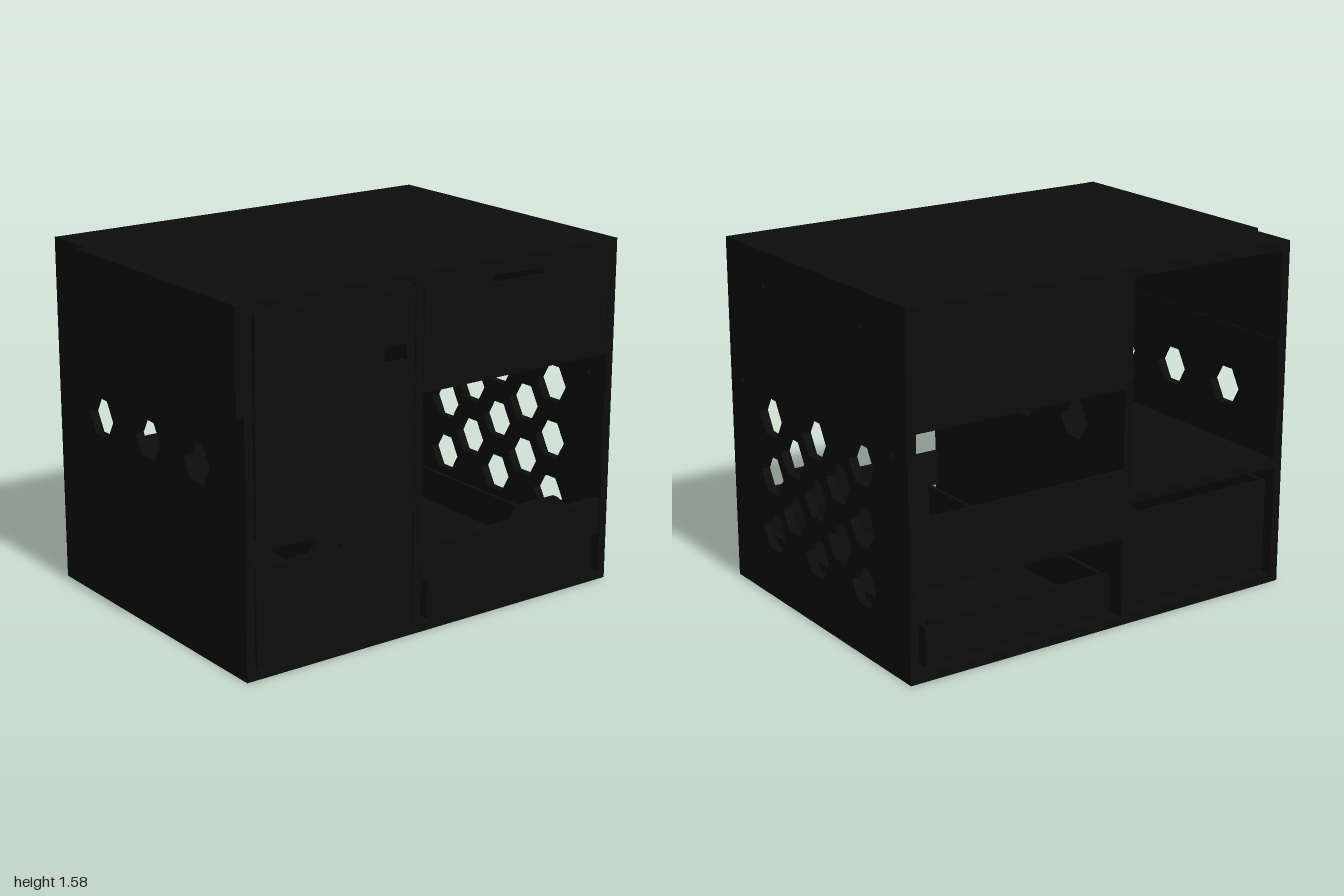
import * as THREE from 'three';

export function createModel() {
  const model = new THREE.Group();
  model.name = 'storageCabinet';
  const black = new THREE.MeshStandardMaterial({ color: 0x0d0d0d });
  black.name = 'matteBlack';

  const add = (name, geometry, parent = model) => {
    const mesh = new THREE.Mesh(geometry, black);
    mesh.name = name;
    parent.add(mesh);
    return mesh;
  };
  // Box given by its limits on each axis
  const box = (name, x0, x1, y0, y1, z0, z1, parent) =>
    add(name, new THREE.BoxGeometry(x1 - x0, y1 - y0, z1 - z0)
      .translate((x0 + x1) / 2, (y0 + y1) / 2, (z0 + z1) / 2), parent);

  const poly = (points) => new THREE.Shape(points.map(([x, y]) => new THREE.Vector2(x, y)));
  const rect = (a0, a1, b0, b1) => poly([[a0, b0], [a1, b0], [a1, b1], [a0, b1]]);
  const ring = (cx, cy, r, sides) => poly(Array.from({ length: sides }, (_, i) => {
    const a = (i / sides) * Math.PI * 2;
    return [cx + r * Math.cos(a), cy + r * Math.sin(a)];
  }));
  const hex = (x, y) => ring(x, y, 0.098, 6);
  const extrude = (shape, holes, depth) => {
    shape.holes.push(...holes);
    return new THREE.ExtrudeGeometry(shape, { depth, bevelEnabled: false, curveSegments: 10 });
  };
  // Upright panel across x, from z0 to z0 + depth
  const crossPanel = (name, shape, holes, z0, depth, parent) =>
    add(name, extrude(shape, holes, depth).translate(0, 0, z0), parent);
  // Upright panel across z (shape uses z, y), outer face at x1
  const sidePanel = (name, shape, holes, x1, depth, parent) =>
    add(name, extrude(shape, holes, depth).rotateY(-Math.PI / 2).translate(x1, 0, 0), parent);

  const L = -0.735, R = 0.725;

  // Case
  box('bottomPanel', L, R, 0, 0.04, -1, 0.96);
  box('topPanel', L, R, 1.54, 1.58, -1, 0.96);

  const viewRow = [-0.38, 0, 0.375].map((x) => [x, 0.847]);
  const wall = () => rect(L, R, 0.04, 1.54);
  const hexes = (list) => list.map(([x, y]) => hex(x, y));
  crossPanel('frontPanel', wall(), hexes(viewRow), 0.92, 0.04);
  crossPanel('middlePartition', wall(), hexes(viewRow), 0.07, 0.04);

  // Back panel with staggered vents and screw holes
  const vents = [...viewRow];
  for (const x of [-0.38, 0, 0.375]) vents.push([x, 0.58], [x, 0.315]);
  for (const x of [-0.19, 0.19]) vents.push([x, 0.712], [x, 0.447]);
  const screws = [[0.4, 1.43], [-0.39, 1.43], [0.62, 0.957], [-0.62, 0.957]];
  crossPanel('backPanel', wall(),
    [...hexes(vents), ...screws.map(([x, y]) => ring(x, y, 0.012, 10))], -1, 0.04);

  // Raised plate on the upper front
  box('frontPlate', -0.48, 0.73, 1.13, 1.58, 0.96, 1);

  // Fixed shelves and guide rails
  box('frontShelf', L, R, 0.55, 0.59, 0.11, 0.92);
  box('backShelf', L, R, 1.065, 1.1, -0.96, 0.07);
  for (const z of [0.11, 0.91]) box('guideRail', L, R, 1.1, 1.14, z, z + 0.01);

  // Fixed panels on the model's right side
  box('upperSidePanel', L, L + 0.02, 1.1, 1.54, -0.96, 0.07);
  box('middleSidePanel', L, L + 0.02, 0.4, 0.705, -0.96, 0.07);

  // Tall door with a finger hole
  sidePanel('tallDoor', rect(0.118, 0.912, 0.598, 1.533),
    [rect(0.16, 0.275, 1.225, 1.295)], 0.73, 0.03);

  // Open-topped container behind a drawer front
  const tub = (name, x0, x1, y0, y1, z0, z1, backHeight = y1) => {
    const t = 0.02, g = new THREE.Group();
    g.name = name;
    model.add(g);
    box('tubFloor', x0, x1, y0, y0 + t, z0, z1, g);
    box('tubWall', x0, x1, y0, y1, z0, z0 + t, g);
    box('tubWall', x0, x1, y0, y1, z1 - t, z1, g);
    box('tubBack', x0, x0 + t, y0, backHeight, z0 + t, z1 - t, g);
    return g;
  };

  // Upper back drawer with a slotted grip
  const upper = tub('upperDrawer', -0.69, 0.7, 1.105, 1.42, -0.95, 0.06);
  sidePanel('drawerFront', rect(-0.957, 0.067, 1.102, 1.537),
    [rect(-0.58, -0.3, 1.475, 1.51)], 0.725, 0.03, upper);

  // Lower front drawer, its front dipping towards one corner
  const lower = tub('lowerDrawer', -0.69, 0.7, 0.05, 0.48, 0.12, 0.91);
  const dip = new THREE.Shape();
  dip.moveTo(0.118, 0.048);
  dip.lineTo(0.912, 0.048);
  dip.lineTo(0.912, 0.48);
  dip.lineTo(0.65, 0.48);
  dip.bezierCurveTo(0.61, 0.48, 0.625, 0.543, 0.575, 0.543);
  dip.lineTo(0.118, 0.543);
  sidePanel('drawerFront', dip, [rect(0.49, 0.55, 0.482, 0.497)], 0.725, 0.03, lower);

  // Lower back tray with overhanging shoulders and a raised grip
  const tray = tub('tray', -0.7, 0.7, 0.05, 0.225, -0.91, 0.03, 0.24);
  sidePanel('trayFront', poly([
    [-0.91, 0.05], [0.03, 0.05], [0.03, 0.225], [0.068, 0.225], [0.068, 0.388],
    [-0.43, 0.388], [-0.49, 0.45], [-0.7, 0.45], [-0.77, 0.388],
    [-0.952, 0.388], [-0.952, 0.225], [-0.91, 0.225],
  ]), [], 0.725, 0.03, tray);

  return model;
}
